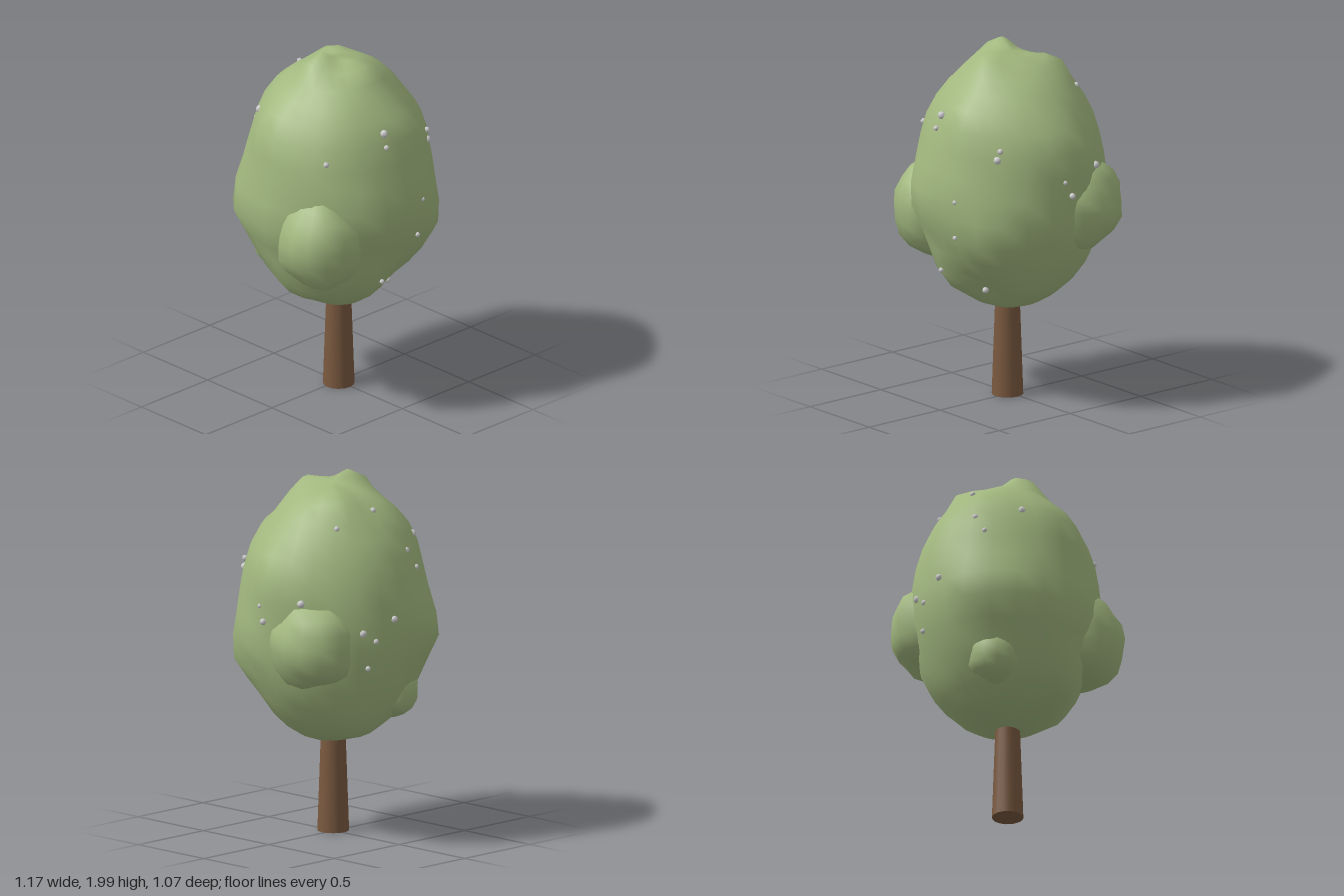
import * as THREE from 'three';
import { mergeVertices } from 'three/addons/utils/BufferGeometryUtils.js';

const green = new THREE.MeshStandardMaterial({ color: 0xa2b87f });
const bark = new THREE.MeshStandardMaterial({ color: 0x7a593f });
const grey = new THREE.MeshStandardMaterial({ color: 0xcccccc });

// Swellings and dents of the crown: [x, y, z, height, width]
const BUMPS = [
  [-0.13, 1.92, -0.02, 0.09, 0.08], [0.02, 1.88, 0.2, 0.06, 0.11], [0.13, 1.84, -0.18, 0.06, 0.09],
  [-0.47, 1.62, -0.08, 0.07, 0.16], [0.1, 1.63, 0.43, 0.04, 0.12], [0.5, 1.5, 0.02, 0.04, 0.14],
  [-0.2, 1.15, 0.5, 0.05, 0.14], [-0.2, 1.15, -0.5, 0.06, 0.13], [-0.53, 1.1, 0, 0.05, 0.15],
  [-0.43, 1.1, -0.31, 0.07, 0.14], [0.51, 1.1, 0.18, 0.04, 0.12], [0.33, 0.98, 0.39, 0.06, 0.14],
  [-0.38, 0.73, 0.06, 0.07, 0.13], [0.08, 0.64, -0.26, 0.05, 0.12], [-0.1, 0.72, 0.36, 0.04, 0.1],
  [0.12, 0.67, 0.3, -0.05, 0.1], [0.06, 1.2, -0.53, -0.02, 0.12], [0.45, 1.2, -0.28, -0.03, 0.15],
];

const wobble = (x, y, z) => (Math.sin(x * 11 + y * 5 + 1) + Math.sin(y * 13 - z * 7 + 2) + Math.sin(z * 12 + x * 6)) / 3;

// Smooth, seamless sphere whose vertices are moved by a rule
function shapedSphere(cols, rows, move) {
  let geo = new THREE.SphereGeometry(1, cols, rows);
  geo.deleteAttribute('uv');
  geo.deleteAttribute('normal');
  geo = mergeVertices(geo, 1e-4);
  const pos = geo.attributes.position, v = new THREE.Vector3();
  for (let i = 0; i < pos.count; i++) {
    v.fromBufferAttribute(pos, i);
    move(v);
    pos.setXYZ(i, v.x, v.y, v.z);
  }
  geo.computeVertexNormals();
  return geo;
}

export function createModel() {
  const tree = new THREE.Group();
  tree.name = 'tree';
  const add = (name, geo, mat, x = 0, y = 0, z = 0) => {
    const mesh = new THREE.Mesh(geo, mat);
    mesh.name = name;
    mesh.position.set(x, y, z);
    tree.add(mesh);
    return mesh;
  };

  // Tapered trunk, running up into the crown
  add('trunk', new THREE.CylinderGeometry(0.058, 0.086, 0.8, 16), bark, -0.01, 0.4, 0.015);

  // Main crown: an egg-shaped ball pushed in and out along its own directions
  add('crown', shapedSphere(24, 18, (v) => {
    const out = v.clone();
    v.set(v.x * 0.525, 1.22 + v.y * 0.715, v.z * 0.525);
    let push = 0.014 * wobble(v.x, v.y, v.z);
    for (const [x, y, z, height, width] of BUMPS) {
      const d2 = (v.x - x) ** 2 + (v.y - y) ** 2 + (v.z - z) ** 2;
      push += height * Math.exp(-d2 / (width * width));
    }
    v.addScaledVector(out, push);
  }), green);

  // Smaller leaf clumps: centre and half sizes
  const clumps = [
    ['rightClump', [-0.35, 1.03, 0.23], [0.23, 0.27, 0.245]],
    ['leftClump', [0.34, 1.12, -0.175], [0.235, 0.255, 0.265]],
    ['lowBackClump', [-0.15, 0.8, -0.26], [0.17, 0.15, 0.17]],
  ];
  clumps.forEach(([name, c, s], n) => {
    add(name, shapedSphere(14, 10, (v) => {
      const bump = 1 + 0.09 * wobble(v.x * 0.5 + n, v.y * 0.5, v.z * 0.5);
      v.multiplyScalar(bump).multiply(new THREE.Vector3(...s));
    }), green, ...c);
  });

  // Small berries set on the leaves: [x, y, z, size]
  const berries = [
    [-0.07, 1.64, 0.43, 0.022], [-0.08, 1.57, 0.46, 0.015], [-0.38, 1.51, 0.3, 0.016],
    [0.33, 1.51, 0.35, 0.017], [0.32, 1.46, 0.36, 0.023], [0.14, 1.21, 0.51, 0.015],
    [0.12, 1.0, 0.495, 0.014], [-0.08, 0.76, 0.425, 0.014], [0.11, 0.66, 0.27, 0.018],
    [0.52, 1.32, 0.05, 0.013], [0.535, 1.24, 0.01, 0.018], [0.465, 1.36, -0.21, 0.022],
    [0.24, 1.75, -0.26, 0.016], [0.24, 1.2, -0.46, 0.022], [0.05, 1.26, -0.51, 0.021],
    [0.17, 1.15, -0.49, 0.016], [0.2, 1.0, -0.46, 0.015], [-0.13, 1.6, -0.42, 0.021],
    [-0.2, 1.5, -0.43, 0.015], [-0.33, 1.64, -0.27, 0.022], [-0.335, 1.6, -0.25, 0.022],
    [-0.28, 1.67, -0.26, 0.015], [-0.19, 1.81, -0.21, 0.013], [-0.01, 1.82, -0.29, 0.016],
  ];
  const berryGeo = new THREE.SphereGeometry(1, 7, 5);
  berries.forEach(([x, y, z, size], i) => {
    const berry = add('berry', berryGeo, grey, x, y, z);
    berry.scale.setScalar(size);
    berry.rotation.set(i, i * 2, 0);
  });

  return tree;
}
